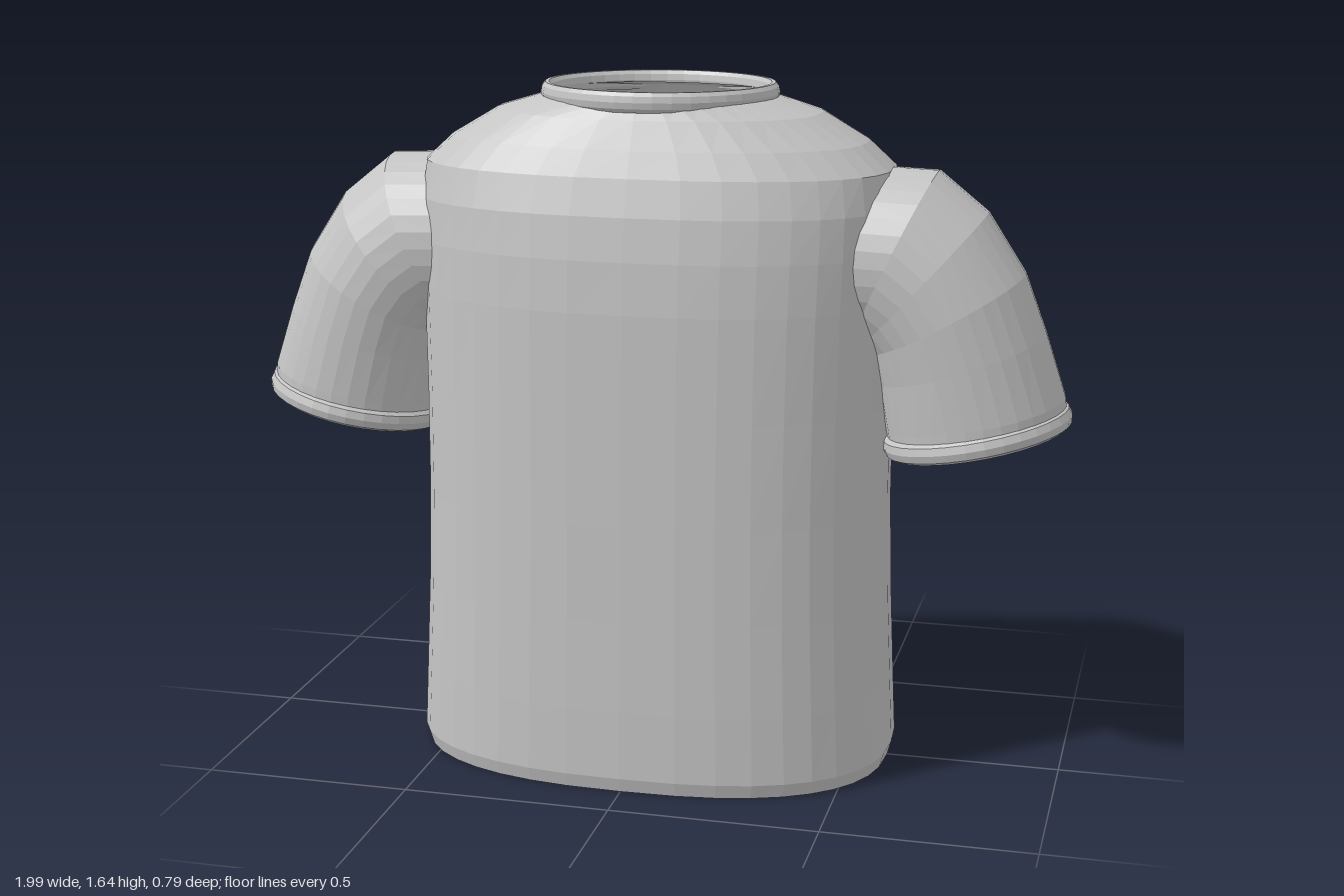
import * as THREE from 'three';

const SEGMENTS = 40;

// Skins a list of closed rings (ordered bottom to top) into an open tube
function loft(rings) {
  const n = rings[0].length;
  const index = [];
  for (let i = 0; i < rings.length - 1; i++) {
    for (let j = 0; j < n; j++) {
      const a = i * n + j, b = i * n + (j + 1) % n;
      index.push(a, a + n, b, b, a + n, b + n);
    }
  }
  const geometry = new THREE.BufferGeometry().setFromPoints(rings.flat());
  geometry.setIndex(index);
  geometry.computeVertexNormals();
  return geometry;
}

// Horizontal superellipse ring
function bodyRing([y, rx, rz, power]) {
  const bend = (v) => Math.sign(v) * Math.abs(v) ** (2 / power);
  return Array.from({ length: SEGMENTS }, (_, j) => {
    const a = (j / SEGMENTS) * Math.PI * 2;
    return new THREE.Vector3(rx * bend(Math.cos(a)), y, rz * bend(Math.sin(a)));
  });
}

// Sleeve ring spanning an outer and an inner point; side is +1 or -1
function sleeveRing([ox, oy, ix, iy, rz], side) {
  const n = 32;
  return Array.from({ length: n }, (_, j) => {
    const a = (j / n) * Math.PI * 2;
    const t = (1 + Math.cos(a)) / 2;
    return new THREE.Vector3(
      side * (ix + (ox - ix) * t), iy + (oy - iy) * t, side * rz * Math.sin(a));
  });
}

export function createModel() {
  const shirt = new THREE.Group();
  shirt.name = 'shirt';
  const fabric = new THREE.MeshStandardMaterial({ color: 0xc4c4c4 });
  fabric.name = 'grey fabric';
  fabric.side = THREE.DoubleSide;
  fabric.flatShading = true;

  function add(name, geometry) {
    const mesh = new THREE.Mesh(geometry, fabric);
    mesh.name = name;
    shirt.add(mesh);
    return mesh;
  }

  // Body, open at hem and neck: y, half width, half depth, squareness
  add('body', loft([
    [0, 0.58, 0.387, 2.5],
    [0.035, 0.59, 0.396, 2.5],
    [0.2, 0.582, 0.393, 2.5],
    [0.42, 0.572, 0.386, 2.5],
    [0.65, 0.566, 0.379, 2.5],
    [0.9, 0.566, 0.371, 2.5],
    [1.15, 0.57, 0.362, 2.5],
    [1.27, 0.574, 0.352, 2.5],
    [1.37, 0.576, 0.336, 2.5],
    [1.455, 0.565, 0.31, 2.45],
    [1.515, 0.5, 0.282, 2.4],
    [1.58, 0.39, 0.25, 2.3],
    [1.61, 0.29, 0.233, 2.2],
    [1.618, 0.26, 0.215, 2.2],
  ].map(bodyRing)));

  // Collar band
  const collar = new THREE.TorusGeometry(0.27, 0.015, 10, SEGMENTS);
  collar.rotateX(Math.PI / 2);
  collar.scale(1, 1.65, 0.915);
  add('collar', collar).position.set(0, 1.62, -0.007);

  for (const side of [1, -1]) {
    const label = side > 0 ? 'left' : 'right';

    // Sleeve bending into the shoulder: outer x, y, inner x, y, half depth
    add(label + 'Sleeve', loft([
      [0.985, 0.875, 0.57, 0.785, 0.212],
      [0.98, 0.93, 0.56, 0.84, 0.214],
      [0.93, 1.08, 0.54, 0.95, 0.217],
      [0.877, 1.22, 0.52, 1.02, 0.22],
      [0.786, 1.36, 0.5, 1.04, 0.218],
      [0.668, 1.455, 0.48, 1.05, 0.213],
      [0.54, 1.46, 0.42, 1.05, 0.207],
    ].map((ring) => sleeveRing(ring, side))));

    // Cuff band around the sleeve opening
    const cuff = new THREE.TorusGeometry(0.211, 0.016, 8, 32);
    cuff.rotateX(Math.PI / 2);
    cuff.scale(1, 1.6, 1);
    cuff.rotateZ(side * 0.215);
    add(label + 'Cuff', cuff).position.set(side * 0.775, 0.842, 0);
  }

  return shirt;
}
